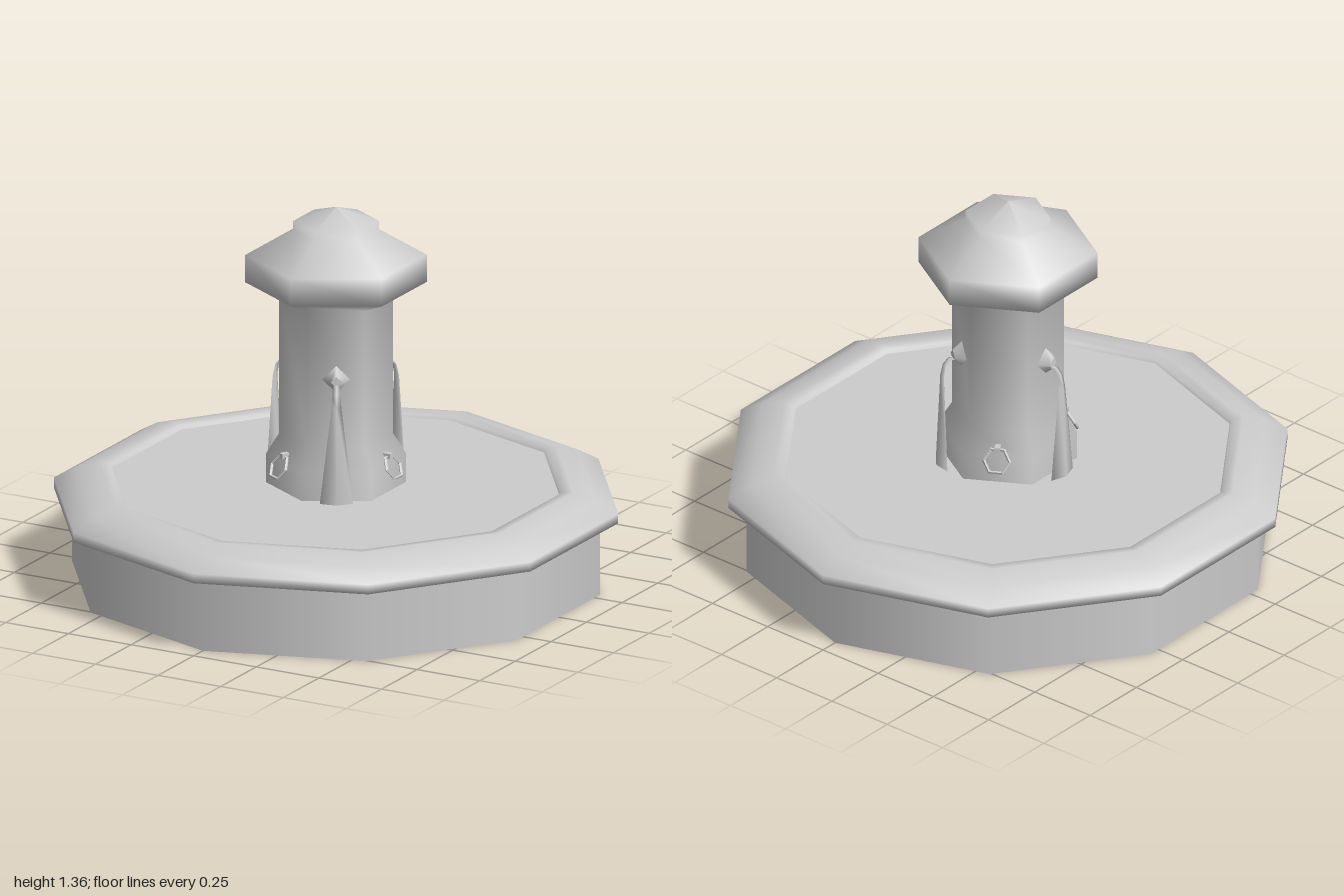
import * as THREE from 'three';

const material = new THREE.MeshStandardMaterial({ color: 0xcccccc, side: THREE.DoubleSide });
const flatMaterial = new THREE.MeshStandardMaterial({ color: 0xcccccc, side: THREE.DoubleSide, flatShading: true });

function addMesh(parent, name, geometry, mat = material) {
  const mesh = new THREE.Mesh(geometry, mat);
  mesh.name = name;
  parent.add(mesh);
  return mesh;
}

// Smooth-shaded ring of a [radius, height] profile, with a corner on +z
function lathe(profile, sides) {
  return new THREE.LatheGeometry(profile.map(([r, y]) => new THREE.Vector2(r, y)), sides);
}

// Falling water: diamond cross-sections that widen as they drop; local +z points away from the pillar
function streamGeometry() {
  // [distance from axis, height, half width, half depth, lean of the section into the bend]
  const sections = [
    [0.185, 0.765, 0.010, 0.006, 1], [0.215, 0.765, 0.012, 0.006, 0.8], [0.235, 0.745, 0.014, 0.006, 0.4],
    [0.244, 0.70, 0.017, 0.007, 0], [0.245, 0.35, 0.058, 0.020, 0],
  ];
  const positions = [], index = [];
  sections.forEach(([r, y, w, d, lean], i) => {
    const dy = d * lean, dz = d * (1 - lean);
    positions.push(w, y, r, 0, y + dy, r + dz, -w, y, r, 0, y - dy, r - dz);
    if (i === 0) return;
    for (let k = 0; k < 4; k++) {
      const a = (i - 1) * 4 + k, b = (i - 1) * 4 + (k + 1) % 4;
      index.push(a, b, a + 4, b, b + 4, a + 4);
    }
  });
  const geometry = new THREE.BufferGeometry();
  geometry.setAttribute('position', new THREE.Float32BufferAttribute(positions, 3));
  geometry.setIndex(index);
  geometry.computeVertexNormals();
  return geometry;
}

// Blunt diamond spout with its stream
function makeSpout() {
  const group = new THREE.Group();
  group.name = 'waterSpout';
  const nozzle = addMesh(group, 'spoutNozzle', new THREE.CylinderGeometry(0.02, 0.05, 0.035, 4));
  nozzle.rotation.x = Math.PI / 2;
  nozzle.position.set(0, 0.78, 0.187);
  addMesh(group, 'waterStream', streamGeometry());
  return group;
}

// Hanging ring on a small knob
function makeRing() {
  const group = new THREE.Group();
  group.name = 'hangingRing';
  const knob = addMesh(group, 'ringKnob', new THREE.BoxGeometry(0.02, 0.018, 0.03));
  knob.position.set(0, 0.481, 0.207);
  const ring = addMesh(group, 'ring', new THREE.TorusGeometry(0.046, 0.006, 4, 6), flatMaterial);
  ring.rotation.x = -0.52;
  ring.position.set(0, 0.443, 0.229);
  return group;
}

export function createModel() {
  const model = new THREE.Group();
  model.name = 'fountain';

  // Ten-sided basin with an overhanging rounded rim
  const basin = new THREE.Group();
  basin.name = 'basin';
  model.add(basin);
  addMesh(basin, 'basinWall', lathe([[0.935, 0], [0.935, 0.265]], 10));
  addMesh(basin, 'rim', lathe([
    [0.935, 0.265], [1, 0.265], [1, 0.3], [0.92, 0.345], [0.84, 0.367], [0.8, 0.363], [0.785, 0.335],
  ], 10));
  const water = addMesh(basin, 'waterSurface', new THREE.CircleGeometry(0.83, 10, Math.PI / 2));
  water.rotation.x = -Math.PI / 2;
  water.position.y = 0.35;
  addMesh(basin, 'dishedFloor', lathe([[0.84, 0.342], [0.3, 0.27], [0, 0.27]], 10));

  // Six-sided pillar, open underneath, running up into its cap and finial
  addMesh(model, 'pillar', lathe([
    [0.243, 0.15], [0.243, 0.455], [0.197, 0.53], [0.197, 1.03], [0.315, 1.08],
    [0.315, 1.18], [0.15, 1.272], [0.15, 1.303], [0, 1.355],
  ], 6));

  // Spouts and rings alternate on the six pillar faces
  for (let i = 0; i < 6; i++) {
    const fitting = i % 2 === 0 ? makeSpout() : makeRing();
    fitting.rotation.y = Math.PI / 6 + i * Math.PI / 3;
    model.add(fitting);
  }
  return model;
}
